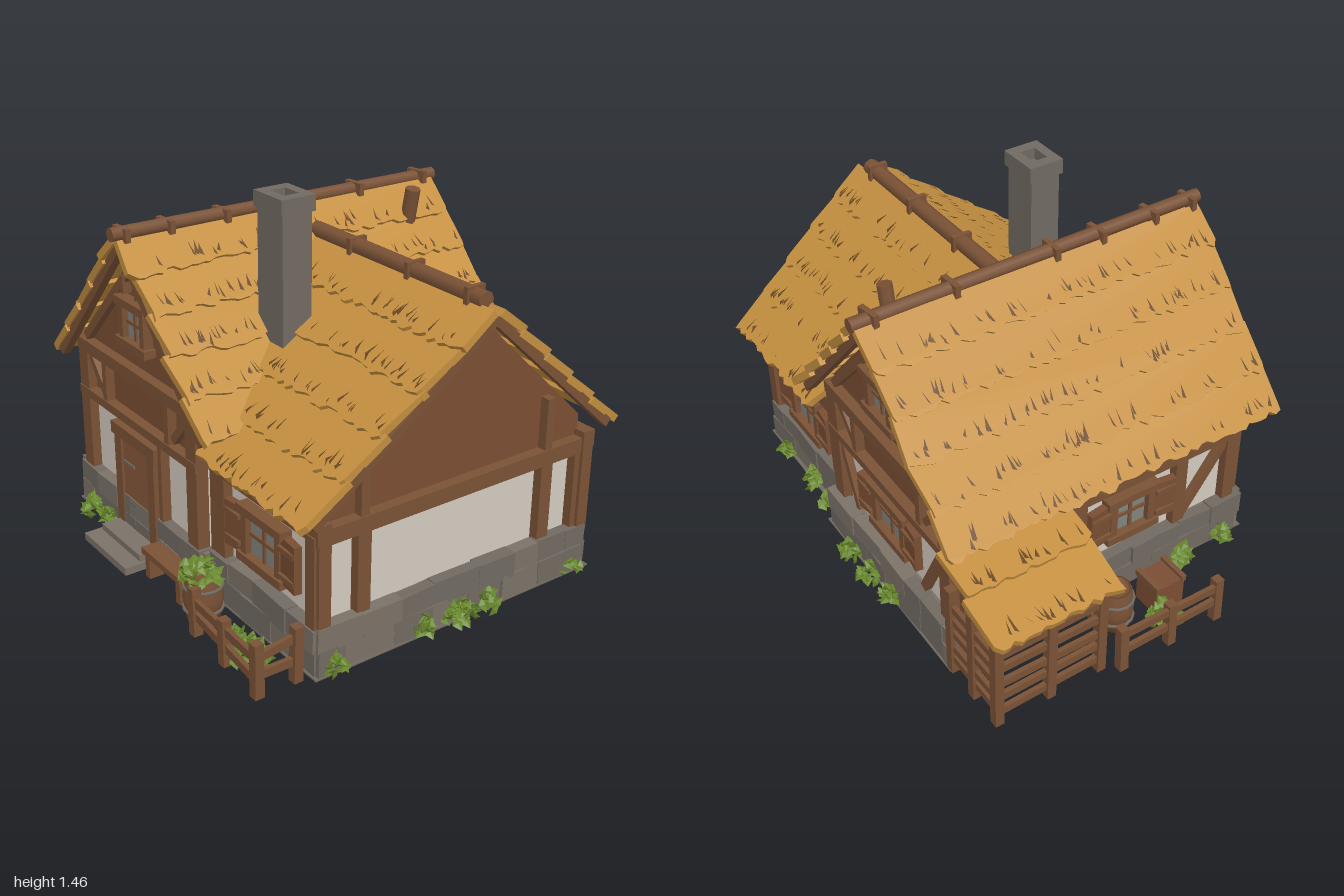
import * as THREE from 'three';
import { mergeGeometries } from 'three/addons/utils/BufferGeometryUtils.js';

const V = (x, y, z) => new THREE.Vector3(x, y, z);
const paint = (name, color, extra = {}) => Object.assign(new THREE.MeshStandardMaterial({ color, ...extra }), { name });

export function createModel() {
  const root = new THREE.Group();
  root.name = 'cottage';
  const thatch = paint('thatch', 0xc48f40), gap = paint('thatchGap', 0x694722, { side: THREE.DoubleSide });
  const wood = paint('timber', 0x7a5236), board = paint('boards', 0x7a4e33), doorWood = paint('doorWood', 0x87583a);
  const plaster = paint('plaster', 0xd2cabf), stone = paint('stone', 0x7b7267), stoneDark = paint('darkStone', 0x716a62);
  const leaf = paint('leaves', 0x66852a, { side: THREE.DoubleSide }), glass = paint('glass', 0x80847e);

  let seed = 7;
  const rnd = (a = -1, b = 1) => {
    seed = (seed * 16807) % 2147483647;
    return a + (b - a) * seed / 2147483647;
  };
  const add = (parent, name, geo, mat) => {
    const m = new THREE.Mesh(geo, mat);
    m.name = name;
    parent.add(m);
    return m;
  };
  const group = (name, x = 0, y = 0, z = 0, ry = 0, parent = root) => {
    const g = new THREE.Group();
    g.name = name;
    g.position.set(x, y, z);
    g.rotation.y = ry;
    parent.add(g);
    return g;
  };
  const box = (p, name, mat, w, h, d, x, y, z) => {
    const m = add(p, name, new THREE.BoxGeometry(w, h, d), mat);
    m.position.set(x, y, z);
    return m;
  };
  // Square timber from a to b
  const beam = (p, name, a, b, w = 0.04, d = w) => {
    const geo = new THREE.BoxGeometry(w, d, a.distanceTo(b));
    const m = new THREE.Matrix4().lookAt(b, a, Math.abs(b.y - a.y) > 0.99 * a.distanceTo(b) ? V(0, 0, 1) : V(0, 1, 0));
    geo.applyMatrix4(m.setPosition(a.clone().lerp(b, 0.5)));
    add(p, name, geo, wood);
  };
  const log = (p, name, a, b, r) => {
    const geo = new THREE.CylinderGeometry(r, r, a.distanceTo(b), 8);
    geo.applyQuaternion(new THREE.Quaternion().setFromUnitVectors(V(0, 1, 0), b.clone().sub(a).normalize()));
    add(p, name, geo, wood).position.copy(a).lerp(b, 0.5);
  };

  // Walls: plaster below, boarded gable above
  const gableWall = (name, pts, depth) => {
    const s = new THREE.Shape(pts.map(p => new THREE.Vector2(...p)));
    return add(root, name, new THREE.ExtrudeGeometry(s, { depth, bevelEnabled: false }), board);
  };
  box(root, 'mainWalls', plaster, 0.86, 0.5, 1.26, -0.15, 0.26, -0.05);
  gableWall('mainGables', [[-0.58, 0.5], [0.28, 0.5], [0.28, 0.76], [-0.14, 1.22], [-0.58, 0.74]], 1.26).position.z = -0.68;
  box(root, 'wingWalls', plaster, 0.7, 0.5, 1.17, 0.56, 0.26, -0.055);
  const wingGable = gableWall('wingGable', [[-0.53, 0.5], [0.64, 0.5], [0.64, 0.63], [0.14, 1.11], [-0.53, 0.6]], 0.7);
  wingGable.rotation.y = Math.PI / 2;
  wingGable.position.x = 0.21;

  // Stone footing: two courses of uneven blocks along each wall
  box(root, 'mainFooting', stone, 0.935, 0.175, 1.335, -0.15, 0.092, -0.06);
  box(root, 'wingFooting', stone, 0.7, 0.175, 1.235, 0.6, 0.092, -0.055);
  box(root, 'mainUnderside', stoneDark, 0.96, 0.006, 1.38, -0.15, 0.003, -0.06);
  box(root, 'wingUnderside', stoneDark, 0.72, 0.006, 1.28, 0.61, 0.003, -0.055);
  const blocks = [[], []];
  const course = (x1, z1, x2, z2) => {
    const len = Math.hypot(x2 - x1, z2 - z1), angle = -Math.atan2(z2 - z1, x2 - x1);
    for (let row = 0; row < 2; row++)
      for (let s = 0; s < len - 0.03;) {
        const w = Math.min(rnd(0.1, 0.22), len - s), t = (s + w / 2) / len;
        const g = new THREE.BoxGeometry(w, row ? 0.085 + rnd(0, 0.015) : 0.1, 0.04 + rnd(0, 0.018));
        g.rotateZ(rnd() * 0.03).rotateY(angle + rnd() * 0.04);
        blocks[rnd() > 0.4 ? 0 : 1].push(g.translate(x1 + (x2 - x1) * t, row ? 0.14 : 0.053, z1 + (z2 - z1) * t));
        s += w;
      }
  };
  [[-0.61, 0.6, 0.31, 0.6], [0.31, 0.555, 0.95, 0.555], [0.94, 0.57, 0.94, -0.67], [0.95, -0.66, 0.31, -0.66],
    [0.31, -0.72, -0.61, -0.72], [-0.61, -0.73, -0.61, 0.61]].forEach(c => course(...c));
  blocks.forEach((b, i) => add(root, 'footingStones', mergeGeometries(b), i ? stoneDark : stone));

  // Thatch slope: overlapping courses with ragged lower edges, from ridge A-B down along 'fall'
  const slope = (name, A, B, fall, rows, start = () => 0, end = () => 0) => {
    const u = B.clone().sub(A), L = u.length(), H = fall.length();
    u.normalize();
    const v = fall.clone().normalize();
    const basis = new THREE.Matrix4().makeBasis(u, v, u.clone().cross(v)).setPosition(A);
    const slabs = [], slits = [];
    for (let i = 0; i < rows; i++) {
      const t0 = Math.max(0, i / rows - 0.03), t1 = (i + 1) / rows, v0 = t0 * H, v1 = t1 * H;
      const a0 = start(t0), a1 = start(t1), b0 = L - end(t0), b1 = L - end(t1);
      const s = new THREE.Shape().moveTo(a0, v0);
      s.lineTo(b0 + rnd() * 0.01, v0);
      s.lineTo(b1 + rnd() * 0.02, v1 - 0.02);
      const n = Math.round((b1 - a1) / 0.025);
      for (let k = n - 0.5; k > 0; k--) s.lineTo(a1 + (b1 - a1) * k / n, v1 + rnd() * 0.013);
      s.lineTo(a1 + rnd() * 0.02, v1 - 0.02);
      const lift = g => {
        const p = g.attributes.position;
        for (let k = 0; k < p.count; k++) p.setZ(k, p.getZ(k) + 0.018 * (p.getY(k) - v0) / (v1 - v0));
        g.applyMatrix4(basis).computeVertexNormals();
        return g;
      };
      slabs.push(lift(new THREE.ExtrudeGeometry(s, { depth: 0.03, bevelEnabled: false })));
      // Dark gaps between the straw bundles
      for (let k = 0; k < n * 0.6; k++) {
        const x = rnd(a1 + 0.03, b1 - 0.03), h = rnd(0.025, 0.07), y = v1 - 0.01 - rnd(0, 0.03), w = rnd(0.003, 0.008);
        const slit = new THREE.Shape([[x - w, y], [x + w, y - 0.01], [x + rnd() * 0.015, y - h]].map(q => new THREE.Vector2(...q)));
        slits.push(lift(new THREE.ShapeGeometry(slit).translate(0, 0, 0.032)));
      }
    }
    add(root, name, mergeGeometries(slabs), thatch);
    add(root, name + 'Gaps', mergeGeometries(slits), gap);
  };
  const valley = t => Math.min(0.33, -0.225 + (0.12 + 0.56 * t) / 1.08) + 0.1;
  slope('mainRoofRight', V(-0.14, 1.25, -0.78), V(-0.14, 1.25, 0.67), V(0.54, -0.6, 0), 5);
  slope('mainRoofLeft', V(-0.14, 1.25, 0.67), V(-0.14, 1.25, -0.79), V(-0.56, -0.62, 0), 5);
  slope('wingRoofFront', V(0.98, 1.145, -0.14), V(-0.1, 1.145, -0.14), V(0, -0.58, 0.765), 5, undefined, valley);
  slope('wingRoofBack', V(-0.1, 1.145, -0.14), V(0.98, 1.145, -0.14), V(0, -0.57, -0.61), 5, valley);
  slope('leanToRoof', V(-0.59, 0.565, -0.25), V(-0.59, 0.565, -0.77), V(-0.39, -0.13, 0), 2);

  // Ridge logs with bindings
  log(root, 'mainRidge', V(-0.14, 1.275, -0.8), V(-0.13, 1.285, 0.69), 0.027);
  for (const z of [-0.72, -0.4, 0.02, 0.22, 0.46, 0.64]) box(root, 'ridgeBinding', wood, 0.09, 0.05, 0.022, -0.135, 1.28, z).rotation.y = rnd() * 0.2;
  log(root, 'wingRidge', V(-0.03, 1.185, -0.14), V(0.92, 1.18, -0.14), 0.033);
  for (const x of [0.22, 0.55, 0.86]) box(root, 'ridgeBinding', wood, 0.02, 0.075, 0.08, x, 1.18, -0.14);
  log(root, 'roofPeg', V(-0.02, 1.13, -0.58), V(0.01, 1.28, -0.58), 0.03);

  // Chimney with open cap
  const flue = group('chimney', 0.23, 0, 0.19);
  box(flue, 'stack', stoneDark, 0.155, 0.62, 0.125, 0, 1.09, 0);
  for (const s of [-1, 1]) {
    box(flue, 'capSide', stoneDark, 0.045, 0.06, 0.145, s * 0.065, 1.415, 0);
    box(flue, 'capEnd', stoneDark, 0.175, 0.06, 0.04, 0, 1.415, s * 0.052);
  }

  // Framed window, optionally with shutters
  const windowAt = (p, x, y, w, h, shutters) => {
    const g = group('window', x, y, 0, 0, p);
    box(g, 'pane', glass, w, h, 0.008, 0, 0, 0.012);
    for (const s of [-1, 1]) {
      box(g, 'jamb', wood, 0.03, h + 0.03, 0.05, s * (w / 2 + 0.012), 0, 0.015);
      box(g, 'sill', wood, w + 0.09, 0.032, 0.06, 0, s * (h / 2 + 0.015), 0.02);
      if (shutters) {
        box(g, 'shutter', board, 0.1, h + 0.02, 0.03, s * (w / 2 + 0.075), 0, 0.025).rotation.y = s * -0.12;
        for (const k of [-1, 1]) box(g, 'shutterBatten', wood, 0.09, 0.018, 0.012, s * (w / 2 + 0.075), k * h * 0.33, 0.044);
      }
    }
    box(g, 'mullion', wood, 0.014, h, 0.012, 0, 0, 0.018);
    box(g, 'transom', wood, w, 0.014, 0.012, 0, 0, 0.018);
  };
  const post = (p, x, y1, y2, w = 0.055) => box(p, 'post', wood, w, y2 - y1, 0.05, x, (y1 + y2) / 2, 0.012);
  const rail = (p, x1, x2, y, h = 0.05) => box(p, 'rail', wood, x2 - x1, h, 0.055, (x1 + x2) / 2, y, 0.014);

  // Timber frames of the two main gables
  const mainFace = (name, z, ry) => {
    const f = group(name, -0.15, 0, z, ry), apex = ry ? -0.01 : 0.01;
    for (const s of [-1, 1]) {
      post(f, s * 0.405, 0.17, 0.74, 0.07);
      post(f, s * 0.235, 0.52, 0.7, 0.03);
      beam(f, 'brace', V(s * 0.37, 0.68, 0.012), V(s * 0.26, 0.55, 0.012), 0.03);
      beam(f, 'gableFrame', V(s * 0.39, 0.75, 0.012), V(apex, 1.15, 0.012), 0.035);
      beam(f, 'bargeBoard', V(apex + s * 0.53, 0.655, 0.06), V(apex, 1.238, 0.06), 0.035, 0.035);
      post(f, s * 0.05, 1.03, 1.1, 0.02);
    }
    rail(f, -0.44, 0.44, 0.715);
    rail(f, -0.44, 0.44, 0.515, 0.035);
    windowAt(f, apex, 0.92, 0.13, 0.13);
    return f;
  };
  const front = mainFace('mainFront', 0.58, 0), back = mainFace('mainBack', -0.68, Math.PI);
  windowAt(back, 0, 0.36, 0.18, 0.15, true);
  beam(back, 'cornerBrace', V(0.23, 0.2, 0.012), V(0.37, 0.48, 0.012), 0.035);
  beam(back, 'cornerBrace', V(-0.27, 0.2, 0.012), V(-0.37, 0.46, 0.012), 0.03);

  // Door, frame and steps
  const door = group('door', 0, 0, 0, 0, front);
  box(door, 'leaf', doorWood, 0.2, 0.38, 0.03, 0, 0.25, 0.025);
  for (const s of [-1, 1]) box(door, 'doorPost', wood, 0.05, 0.42, 0.06, s * 0.125, 0.25, 0.02);
  box(door, 'lintel', wood, 0.33, 0.05, 0.07, 0, 0.455, 0.02);
  for (const y of [0.16, 0.33]) box(door, 'hinge', stoneDark, 0.08, 0.012, 0.006, -0.05, y, 0.042);
  post(front, 0.175, 0.17, 0.5, 0.025);
  box(root, 'upperStep', stone, 0.3, 0.055, 0.12, -0.14, 0.03, 0.65);
  box(root, 'lowerStep', stone, 0.33, 0.03, 0.13, -0.14, 0.017, 0.715);

  // Wing and side wall frames
  const wingFront = group('wingFront', 0.61, 0, 0.53), wingBack = group('wingBack', 0.61, 0, -0.64, Math.PI);
  for (const [f, s] of [[wingFront, 1], [wingBack, -1]]) {
    post(f, s * -0.265, 0.16, 0.56, 0.09);
    post(f, s * 0.32, 0.16, 0.56, 0.06);
    rail(f, s * 0.02 - 0.33, s * 0.02 + 0.33, 0.54, 0.07);
    windowAt(f, s * 0.01, 0.35, 0.18, 0.16, true);
  }
  const wingSide = group('wingSide', 0.91, 0, -0.14, Math.PI / 2);
  for (const z of [0.55, 0.37, -0.46, -0.63]) post(wingSide, -z - 0.14, 0.17, 0.53);
  for (const z of [0.37, -0.46]) post(wingSide, -z - 0.14, 0.53, 0.75, 0.035);
  rail(wingSide, -0.71, 0.52, 0.52, 0.06);
  for (const [z, y] of [[-0.74, 0.585], [0.59, 0.595]]) beam(wingSide, 'bargeBoard', V(z, y, 0.05), V(0, 1.13, 0.05), 0.035, 0.035);
  const side = group('mainSide', -0.58, 0, -0.05, -Math.PI / 2);
  for (const x of [-0.6, -0.12, 0.35, 0.6]) post(side, x, 0.17, 0.68);
  rail(side, -0.63, 0.63, 0.52);
  windowAt(side, 0.12, 0.35, 0.15, 0.15, true);
  beam(side, 'cornerBrace', V(0.37, 0.2, 0.012), V(0.57, 0.48, 0.012), 0.035);

  // Fences and the slatted lean-to
  const fence = (name, x1, z1, x2, z2, posts, height, ys) => {
    const g = group(name);
    for (let i = 0; i < posts; i++) {
      const t = i / (posts - 1), x = x1 + (x2 - x1) * t, z = z1 + (z2 - z1) * t;
      beam(g, 'fencePost', V(x, 0, z), V(x + rnd() * 0.008, height + rnd() * 0.012, z), 0.036);
    }
    for (const y of ys) beam(g, 'fenceRail', V(x1, y + rnd() * 0.012, z1), V(x2, y + rnd() * 0.012, z2), 0.018, 0.032);
  };
  fence('frontFence', 0.5, 0.76, 0.92, 0.785, 3, 0.18, [0.07, 0.14]);
  fence('cornerFence', 0.92, 0.785, 0.92, 0.63, 2, 0.21, [0.08, 0.16]);
  fence('sideFence', -0.955, -0.22, -0.955, 0.22, 3, 0.2, [0.09, 0.165]);
  fence('leanToFront', -0.91, -0.29, -0.62, -0.29, 2, 0.42, [0.22, 0.29, 0.36]);
  fence('leanToSide', -0.91, -0.29, -0.91, -0.73, 3, 0.42, [0.06, 0.13, 0.2, 0.27, 0.34, 0.41]);
  fence('leanToBack', -0.91, -0.73, -0.62, -0.73, 3, 0.42, [0.06, 0.13, 0.2, 0.27, 0.34]);

  // Barrels, crate and bench
  const barrel = (name, x, z, r, h) => {
    const g = group(name, x, 0, z);
    const pts = [[0, 0], [0.82, 0], [1, 0.5], [0.84, 1], [0.7, 1], [0.68, 0.92], [0, 0.92]].map(p => new THREE.Vector2(p[0] * r, p[1] * h));
    add(g, 'staves', new THREE.LatheGeometry(pts, 12), wood);
    for (const t of [0.25, 0.75]) {
      const hoop = add(g, 'hoop', new THREE.TorusGeometry(r * 0.95, 0.007, 5, 14), stoneDark);
      hoop.rotation.x = Math.PI / 2;
      hoop.position.y = t * h;
    }
  };
  barrel('sideBarrel', -0.76, -0.11, 0.075, 0.18);
  barrel('planter', 0.42, 0.68, 0.075, 0.18);
  box(root, 'crate', board, 0.12, 0.13, 0.13, -0.77, 0.068, 0.1);
  for (const z of [0.04, 0.16]) box(root, 'crateTrim', wood, 0.13, 0.025, 0.02, -0.77, 0.135, z);
  box(root, 'benchSeat', wood, 0.27, 0.025, 0.08, 0.19, 0.11, 0.685);
  for (const x of [0.08, 0.3]) box(root, 'benchLeg', wood, 0.03, 0.1, 0.06, x, 0.05, 0.685);

  // Leafy clumps: broad leaves spread over a low dome
  const bush = (x, y, z, r, h = r, n = 36) => {
    const leaves = [];
    for (let i = 0; i < n; i++) {
      const g = new THREE.OctahedronGeometry(1).scale(0.022, 0.03, 0.008).rotateX(rnd(0.3, 1.4)).rotateY(rnd(0, 6.28));
      const a = rnd(0, 6.28), d = Math.sqrt(rnd(0, 1));
      leaves.push(g.translate(Math.cos(a) * d * r * 0.8, h * (1 - d * d) * rnd(0.6, 1), Math.sin(a) * d * r * 0.8));
    }
    add(root, 'bush', mergeGeometries(leaves), leaf).position.set(x, y, z);
  };
  bush(0.43, 0.18, 0.7, 0.09, 0.07, 60);
  bush(0.78, 0.02, 0.71, 0.08, 0.11, 50);
  bush(0.67, 0.02, 0.7, 0.05, 0.08);
  bush(-0.88, 0.02, 0.04, 0.07, 0.11, 50);
  for (const [x, z] of [[-0.47, 0.65], [-0.36, 0.65], [0.97, 0.12], [0.975, -0.02], [0.97, -0.06], [0.97, -0.18], [0.96, -0.6], [0.96, 0.5],
    [0.8, -0.7], [0.55, -0.7], [0.4, -0.7], [0.1, -0.76], [-0.05, -0.76], [-0.2, -0.76], [-0.66, 0.3], [-0.65, 0.5]]) bush(x, 0.015, z, rnd(0.045, 0.06), rnd(0.05, 0.08), 26);
  return root;
}
